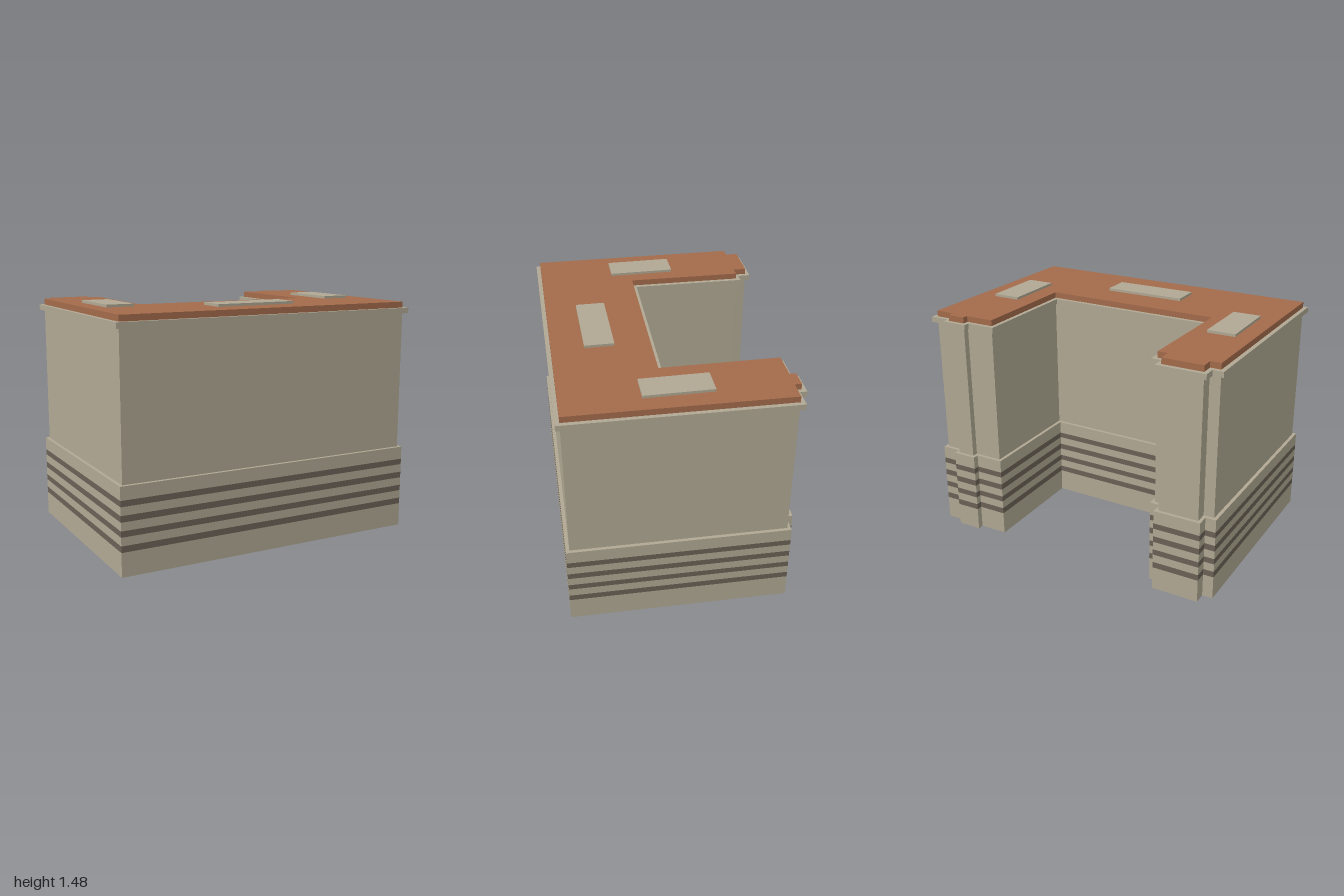
import * as THREE from 'three';

const material = (name, color) => Object.assign(new THREE.MeshStandardMaterial({ color }), { name });

// Wall footprint as [x, z], from the front left corner round the two rear wings
const FOOTPRINT = [
  [-0.973, 0.681], [0.947, 0.699], [0.973, -0.601],
  [0.85, -0.601], [0.85, -0.643], [0.738, -0.643], [0.738, -0.605], [0.556, -0.605],
  [0.551, 0.107], [-0.588, 0.09], [-0.574, -0.621],
  [-0.636, -0.621], [-0.636, -0.701], [-0.888, -0.701], [-0.888, -0.626], [-0.954, -0.626],
].map(([x, z]) => new THREE.Vector2(x, -z));

// Footprint pushed outward by d with mitred corners
function outline(d) {
  const n = FOOTPRINT.length;
  const normal = (a, b) => new THREE.Vector2(b.y - a.y, a.x - b.x).normalize();
  return FOOTPRINT.map((p, i) => {
    const n1 = normal(FOOTPRINT[(i + n - 1) % n], p);
    const n2 = normal(p, FOOTPRINT[(i + 1) % n]);
    return n1.clone().add(n2).multiplyScalar(d / (1 + n1.dot(n2))).add(p);
  });
}

export function createModel() {
  const stone = material('stone', 0xb0a893);
  const band = material('dark stone band', 0x6b6256);
  const roofing = material('terracotta roof', 0xa46b4b);
  const model = new THREE.Group();
  model.name = 'building';

  // Slab of the footprint between two heights
  function slab(name, y0, y1, offset, mat, parent = model) {
    const geometry = new THREE.ExtrudeGeometry(new THREE.Shape(outline(offset)), {
      depth: y1 - y0, bevelEnabled: false,
    });
    geometry.rotateX(-Math.PI / 2);
    const mesh = new THREE.Mesh(geometry, mat);
    mesh.name = name;
    mesh.position.y = y0;
    parent.add(mesh);
  }

  // Projecting base, alternating plain courses and dark bands
  const base = new THREE.Group();
  base.name = 'base';
  model.add(base);
  const levels = [0, 0.146, 0.184, 0.235, 0.271, 0.322, 0.36, 0.411, 0.447, 0.528];
  for (let i = 0; i < levels.length - 1; i++) {
    const dark = i % 2 === 1;
    slab(dark ? 'baseBand' : 'baseCourse', levels[i], levels[i + 1], 0.021, dark ? band : stone, base);
  }

  // Upper walls, cornice and roof
  slab('walls', 0.528, 1.394, 0, stone);
  slab('cornice', 1.394, 1.428, 0.026, stone);
  slab('roof', 1.428, 1.465, 0, roofing);

  // Flat rooftop units: x0, x1, z0, z1
  for (const [name, x0, x1, z0, z1] of [
    ['rightRoofUnit', -0.855, -0.679, -0.192, 0.216],
    ['frontRoofUnit', -0.267, 0.258, 0.318, 0.497],
    ['leftRoofUnit', 0.671, 0.846, -0.162, 0.244],
  ]) {
    const unit = new THREE.Mesh(new THREE.BoxGeometry(x1 - x0, 0.016, z1 - z0), stone);
    unit.name = name;
    unit.position.set((x0 + x1) / 2, 1.473, (z0 + z1) / 2);
    model.add(unit);
  }
  return model;
}
